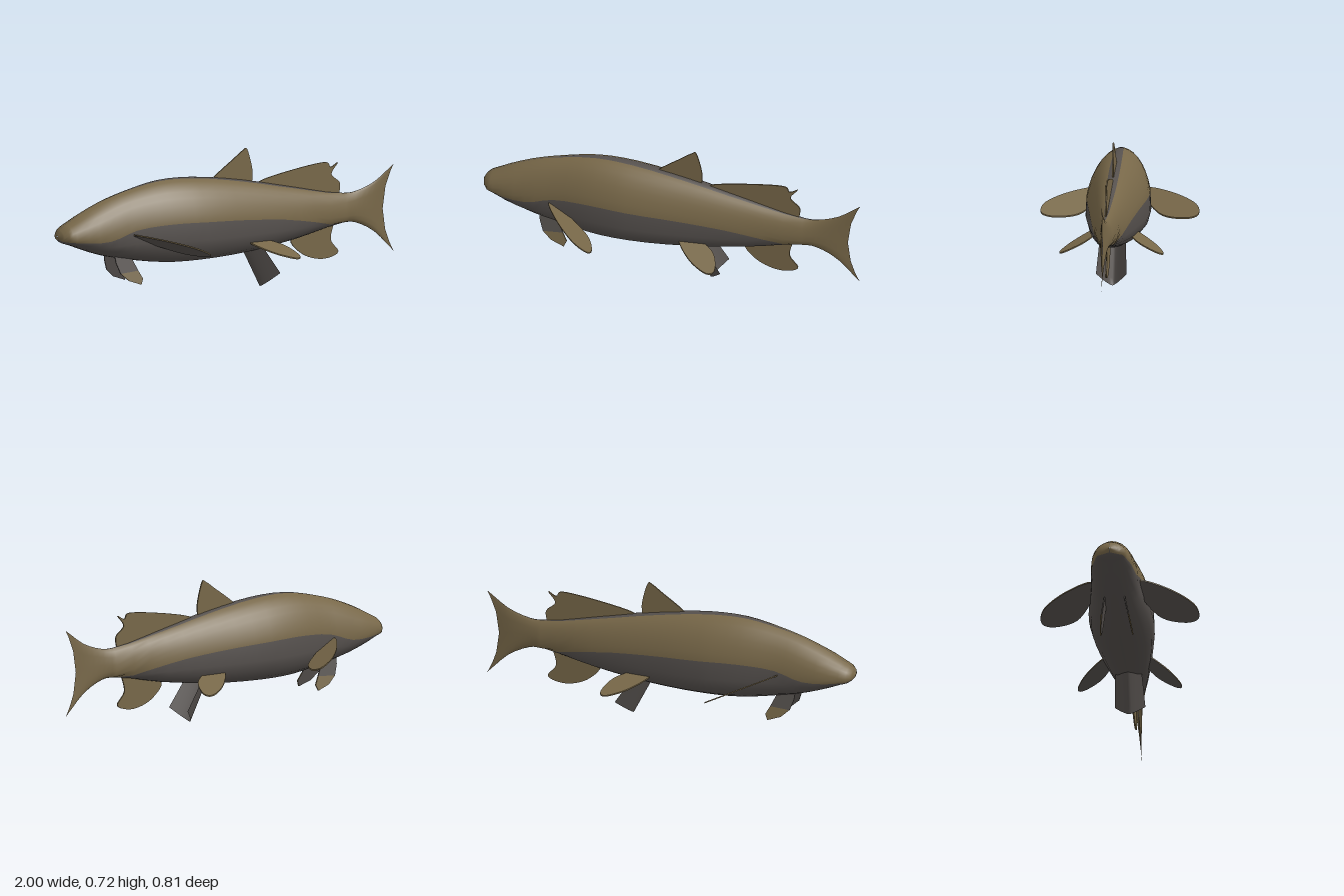
import * as THREE from 'three';

const tan = new THREE.MeshStandardMaterial({ color: 0x776748 });
tan.name = 'olive tan';
const grey = new THREE.MeshStandardMaterial({ color: 0x55504d, side: THREE.DoubleSide });
grey.name = 'dark grey';

// Key stations along the body: x, top, bottom, half width, height of the belly colour line
const STATIONS = [
  [-1, 0.377, 0.373, 0.004, 0.35],
  [-0.985, 0.405, 0.348, 0.05, 0.35],
  [-0.93, 0.442, 0.322, 0.085, 0.345],
  [-0.75, 0.525, 0.255, 0.115, 0.34],
  [-0.6, 0.57, 0.22, 0.127, 0.385],
  [-0.4, 0.608, 0.187, 0.156, 0.402],
  [-0.2, 0.606, 0.18, 0.165, 0.396],
  [0.1, 0.563, 0.192, 0.132, 0.375],
  [0.4, 0.498, 0.23, 0.088, 0.335],
  [0.7, 0.437, 0.284, 0.037, 0.25],
  [0.77, 0.439, 0.279, 0.025, 0.2],
  [0.86, 0.478, 0.22, 0.013, 0.1],
  [0.935, 0.557, 0.11, 0.001, 0],
];

// Egg-shaped cross-sections, split into back stripe, flank and belly; the last ones flare into the tail
function bodyGeometry() {
  const pos = [], tanFaces = [], greyFaces = [];
  const segs = [2, 7, 5], half = 14, n = half * 2, perSpan = 3;
  const profile = new THREE.CubicInterpolant(
    STATIONS.map((s) => s[0]), STATIONS.flatMap((s) => s.slice(1)), 4, new Float32Array(4));
  const rings = (STATIONS.length - 1) * perSpan;
  for (let i = 0; i <= rings; i++) {
    const span = Math.min(Math.floor(i / perSpan), STATIONS.length - 2);
    const x = THREE.MathUtils.lerp(STATIONS[span][0], STATIONS[span + 1][0], i / perSpan - span);
    const [top, bottom, w, bellyY] = profile.evaluate(x);
    const mid = bottom + 0.35 * (top - bottom), up = top - mid, low = mid - bottom;
    const centre = (top + bottom) / 2;
    const bend = 0.065 * Math.max(0, (x - 0.77) / 0.165) ** 1.5;
    const stripe = 0.032 * Math.sin(Math.PI * THREE.MathUtils.clamp((x + 0.72) / 1.52, 0, 1));
    const stripeA = Math.asin(THREE.MathUtils.clamp(stripe / w, 0.02, 0.7));
    const bellyA = bellyY >= mid
      ? Math.acos(Math.min(1, (bellyY - mid) / up))
      : Math.PI - Math.acos(Math.min(1, (mid - bellyY) / low) ** (1 / 0.85));
    const stops = [0, stripeA, THREE.MathUtils.clamp(bellyA, stripeA + 0.3, Math.PI - 0.05), Math.PI];
    const angles = [0];
    segs.forEach((count, s) => {
      for (let k = 1; k <= count; k++) angles.push(THREE.MathUtils.lerp(stops[s], stops[s + 1], k / count));
    });
    for (let j = 0; j < n; j++) {
      const a = angles[j <= half ? j : n - j], side = j <= half ? 1 : -1;
      const c = Math.cos(a), s = Math.max(0, Math.sin(a));
      const y = c >= 0 ? mid + up * c : mid - low * (-c) ** 0.85;
      const v = (y - centre) / (top - centre);
      pos.push(x + bend * v * v, y, side * w * s ** (c >= 0 ? 1.1 : 0.85));
    }
  }
  for (let i = 0; i < rings; i++) {
    for (let j = 0; j < n; j++) {
      const k = j < half ? j : n - 1 - j;
      const a = i * n + j, c = i * n + (j + 1) % n;
      const list = k >= segs[0] && k < segs[0] + segs[1] ? tanFaces : greyFaces;
      list.push(a, c, a + n, c, c + n, a + n);
    }
  }
  const g = new THREE.BufferGeometry();
  g.setAttribute('position', new THREE.Float32BufferAttribute(pos, 3));
  g.setIndex([...tanFaces, ...greyFaces]);
  g.addGroup(0, tanFaces.length, 0);
  g.addGroup(tanFaces.length, greyFaces.length, 1);
  g.computeVertexNormals();
  return g;
}

// Thin plate from an outline, placed by map(u, v, depth); its two faces may differ in colour
function blade(name, points, map, front, back, { flip = false, smooth = true } = {}) {
  const pts = points.map(([u, v]) => new THREE.Vector2(u, v));
  const shape = new THREE.Shape(smooth ? new THREE.SplineCurve(pts).getPoints(pts.length * 5) : pts);
  const g = new THREE.ExtrudeGeometry(shape, { depth: 0.007, bevelEnabled: false });
  const p = g.attributes.position, lids = g.groups[0].count;
  for (let i = 0; i < p.count; i++) p.setXYZ(i, ...map(p.getX(i), p.getY(i), p.getZ(i) - 0.0035));
  if (flip) {
    const a = new THREE.Vector3(), b = new THREE.Vector3();
    for (let i = 0; i < p.count; i += 3) {
      a.fromBufferAttribute(p, i + 1);
      b.fromBufferAttribute(p, i + 2);
      p.setXYZ(i + 1, b.x, b.y, b.z);
      p.setXYZ(i + 2, a.x, a.y, a.z);
    }
  }
  g.clearGroups();
  g.addGroup(0, lids / 2, 1);
  g.addGroup(lids / 2, lids / 2, 0);
  g.addGroup(lids, p.count - lids, 0);
  g.computeVertexNormals();
  const mesh = new THREE.Mesh(g, [front, back]);
  mesh.name = name;
  return mesh;
}

// Folded fan under the belly
function bellyFan() {
  const g = new THREE.PlaneGeometry(2, 1, 12, 6), p = g.attributes.position;
  for (let i = 0; i < p.count; i++) {
    const t = p.getX(i), s = 0.5 - p.getY(i), m = Math.abs(t) ** 1.3;
    p.setXYZ(i,
      THREE.MathUtils.lerp(0.095 + 0.09 * m, 0.205 + 0.075 * m, s),
      THREE.MathUtils.lerp(0.215, 0.002 + 0.073 * m, s),
      t * (0.068 + 0.01 * s));
  }
  g.computeVertexNormals();
  const mesh = new THREE.Mesh(g, grey);
  mesh.name = 'bellyFan';
  return mesh;
}

export function createModel() {
  const fish = new THREE.Group();
  fish.name = 'fish';
  const body = new THREE.Mesh(bodyGeometry(), [tan, grey]);
  body.name = 'bodyAndTail';
  fish.add(body, bellyFan());

  // Fins on the centre line
  const upright = (u, v, d) => [u, v, d];
  fish.add(
    blade('frontDorsalFin', [[-0.08, 0.55], [-0.07, 0.59], [0.05, 0.676], [0.105, 0.714],
      [0.13, 0.715], [0.16, 0.605], [0.155, 0.53]], upright, tan, tan),
    blade('rearDorsalFin', [[0.2, 0.51], [0.21, 0.547], [0.4, 0.585], [0.59, 0.606], [0.625, 0.578],
      [0.668, 0.597], [0.63, 0.542], [0.68, 0.49], [0.67, 0.42]], upright, tan, tan),
    blade('analFin', [[0.42, 0.26], [0.39, 0.21], [0.47, 0.137], [0.58, 0.108], [0.67, 0.135],
      [0.625, 0.205], [0.65, 0.3]], upright, tan, tan));

  // Paired fins
  for (const side of [1, -1]) {
    const label = side > 0 ? 'left' : 'right';
    const flat = (y, bx, bz, x0, z0) => (u, v, d) => [u, y + bx * (u - x0) + bz * (v - z0) + d, side * v];
    fish.add(
      blade(label + 'PectoralFin', [[-0.6, 0.09], [-0.615, 0.14], [-0.52, 0.28], [-0.41, 0.385],
        [-0.33, 0.4], [-0.325, 0.33], [-0.39, 0.21], [-0.53, 0.12]],
      flat(0.357, -0.52, 0.24, -0.6, 0.14), tan, grey, { flip: side > 0 }),
      blade(label + 'PelvicFin', [[0.08, 0.07], [0.075, 0.125], [0.16, 0.216], [0.26, 0.265],
        [0.298, 0.235], [0.26, 0.14], [0.15, 0.07]],
      flat(0.262, -0.1, -0.4, 0.07, 0.11), tan, grey, { flip: side > 0 }));
    const chin = (u, v, d) => [u, v, side * (0.052 + (0.24 - v) * 0.21 + d)];
    const opts = { flip: side < 0, smooth: false };
    fish.add(
      blade(label + 'ChinFinBase', [[-0.69, 0.26], [-0.685, 0.215], [-0.665, 0.16], [-0.56, 0.167],
        [-0.6, 0.25]], chin, grey, grey, opts),
      blade(label + 'ChinFinTip', [[-0.665, 0.16], [-0.62, 0.12], [-0.55, 0.095],
        [-0.537, 0.125], [-0.56, 0.167]], chin, tan, grey, opts));
  }
  return fish;
}
